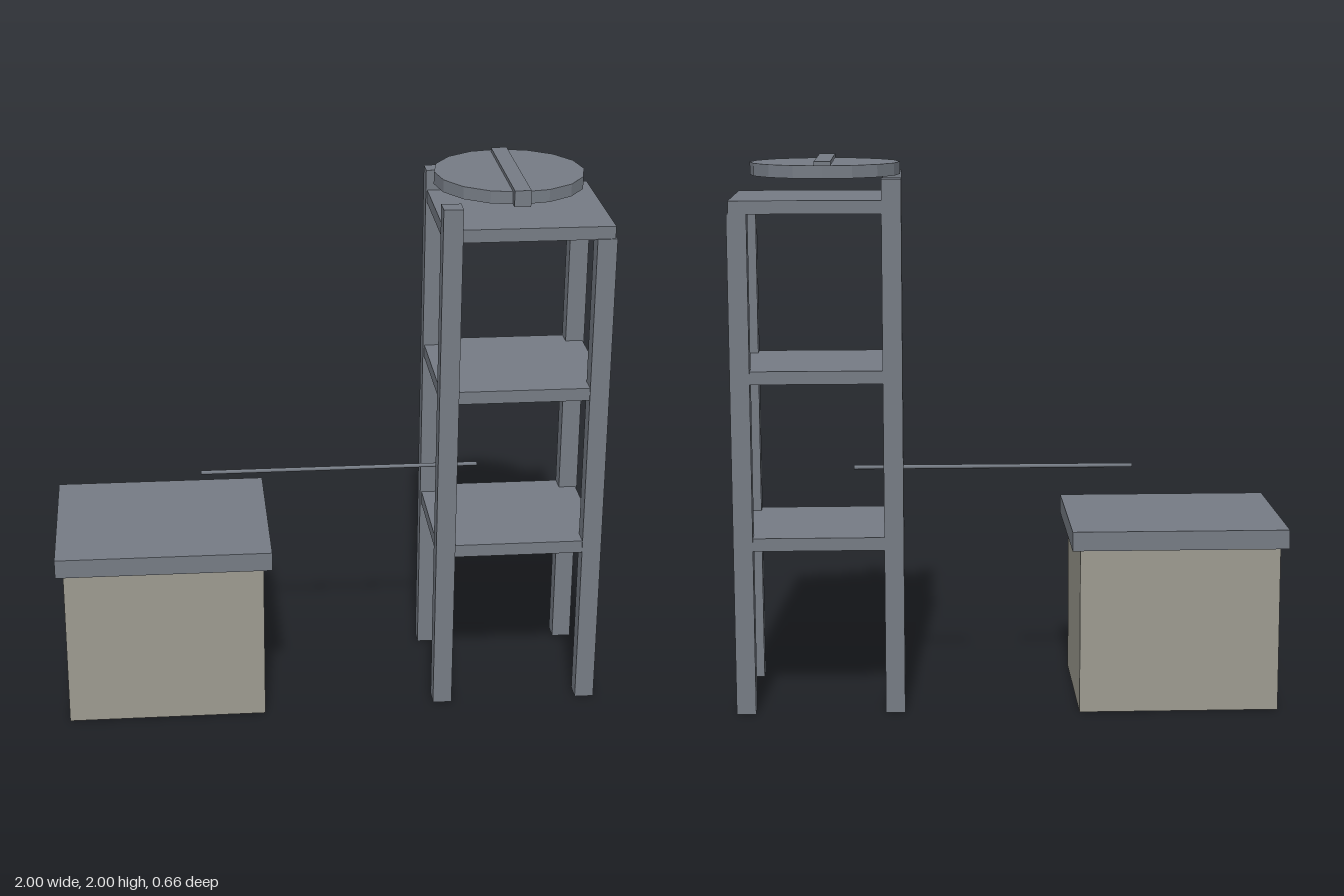
import * as THREE from 'three';

const steel = new THREE.MeshStandardMaterial({ color: 0x757b84 });
steel.name = 'steel grey';
const concrete = new THREE.MeshStandardMaterial({ color: 0x9c9a8f });
concrete.name = 'concrete';

// Box given by its minimum and maximum on each axis
function block(name, [x0, x1], [y0, y1], [z0, z1], material = steel) {
  const mesh = new THREE.Mesh(new THREE.BoxGeometry(x1 - x0, y1 - y0, z1 - z0), material);
  mesh.position.set((x0 + x1) / 2, (y0 + y1) / 2, (z0 + z1) / 2);
  mesh.name = name;
  return mesh;
}

export function createModel() {
  const model = new THREE.Group();
  model.name = 'towerAndBunker';

  // Low building with an overhanging roof slab
  const building = new THREE.Group();
  building.name = 'building';
  building.add(
    block('walls', [-0.973, -0.247], [0, 0.608], [-0.302, 0.302], concrete),
    block('roofSlab', [-1, -0.217], [0.608, 0.678], [-0.332, 0.332])
  );

  // Four-legged tower; the inner pair of legs rises above the top deck
  const tower = new THREE.Group();
  tower.name = 'tower';
  const w = 0.035;
  for (const [x, top] of [[0.422, 1.935], [0.963, 1.815]]) {
    for (const z of [-0.242, 0.242]) {
      tower.add(block('leg', [x - w, x + w], [0, top], [z - w, z + w]));
    }
  }
  for (const y of [0.605, 1.21, 1.813]) {
    tower.add(block('deck', [0.392, 0.992], [y, y + 0.047], [-0.272, 0.272]));
  }

  // Faceted disc hovering over the deck, with a bar across it
  const discGeometry = new THREE.CylinderGeometry(0.269, 0.269, 0.045, 16).toNonIndexed();
  discGeometry.computeVertexNormals();
  const disc = new THREE.Mesh(discGeometry, steel);
  disc.name = 'disc';
  disc.position.set(0.66, 1.96, -0.028);
  tower.add(disc, block('crossBar', [0.632, 0.69], [1.938, 1.996], [-0.274, 0.272]));

  // Thin pipe reaching from the tower over the building
  const pipe = new THREE.Mesh(new THREE.CylinderGeometry(0.008, 0.008, 1.03, 8), steel);
  pipe.name = 'pipe';
  pipe.rotation.z = Math.PI / 2;
  pipe.position.set(0.055, 0.857, 0);

  model.add(building, tower, pipe);
  return model;
}
